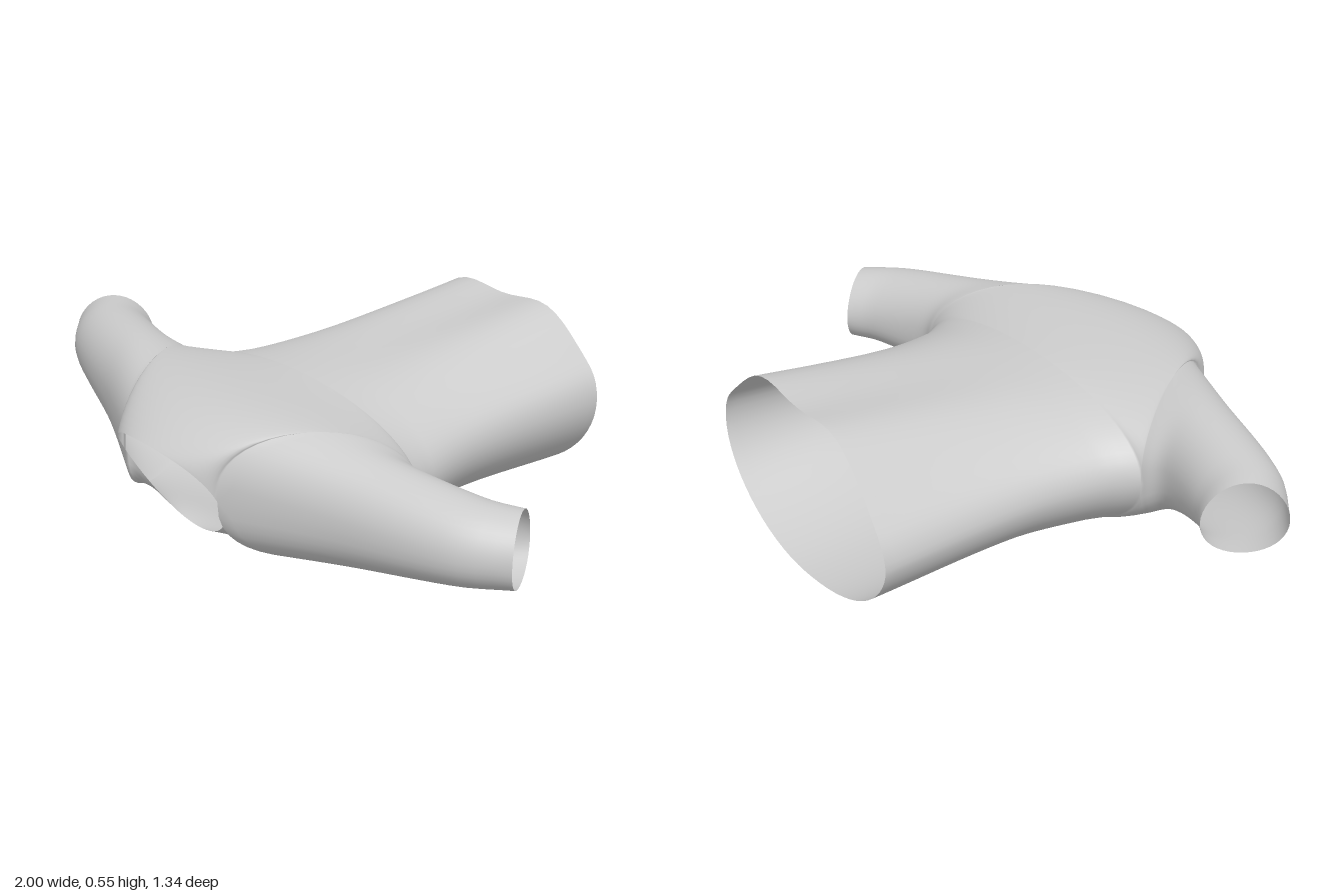
import * as THREE from 'three';
import { mergeVertices } from 'three/addons/utils/BufferGeometryUtils.js';

const { lerp } = THREE.MathUtils;

// Smooth curve through a few key rows, sampled by t in 0..1 (first column = t)
function sample(keys, t) {
  let i = 0;
  while (i < keys.length - 2 && t > keys[i + 1][0]) i++;
  const a = keys[i], b = keys[i + 1];
  const span = b[0] - a[0];
  const f = (t - a[0]) / span;
  return a.slice(1).map((v, n) => {
    const slope = (j) => {
      const p = keys[Math.max(j - 1, 0)], q = keys[Math.min(j + 1, keys.length - 1)];
      return (q[n + 1] - p[n + 1]) / (q[0] - p[0]) * span;
    };
    const w = b[n + 1], f2 = f * f, f3 = f2 * f;
    return v * (2 * f3 - 3 * f2 + 1) + slope(i) * (f3 - 2 * f2 + f)
      + w * (3 * f2 - 2 * f3) + slope(i + 1) * (f3 - f2);
  });
}

// Torso below the armpits: t, z, left edge, right edge, half height, centre height
const TORSO = [
  [0, 0.125, -0.53, 0.53, 0.235, 0.24],
  [0.1, 0.04, -0.488, 0.472, 0.236, 0.244],
  [0.4, -0.2, -0.455, 0.415, 0.236, 0.264],
  [1, -0.67, -0.455, 0.40, 0.272, 0.283],
];
// Sleeve: t, leading edge x and z, underarm x and z, half thickness
const ARMHOLE = 0.188;
const SLEEVE = [
  [0, 0.225, 0.585, 0.53, 0.125, ARMHOLE],
  [0.4, 0.5, 0.465, 0.61, 0.14, 0.158],
  [0.8, 0.86, 0.335, 0.79, 0.085, 0.12],
  [1, 1, 0.235, 0.86, 0.042, 0.107],
];
const NECK_HEIGHT = 0.15, CHEST_HEIGHT = 0.235, NECK_TILT = 0.567;

// Rounding of a sleeve section, 0 at both edges and 1 midway
const round = (p, blunt) => Math.pow(Math.max(0, 4 * p * (1 - p)), blunt);

// Centre height at the armhole, from the neck side to the armpit
const armholeCentre = (p) => lerp(0.28, 0.27, p) + 0.05 * p * (1 - p);

// Yoke, from the tilted neck ring (p = 0) to the chest ring (p = 1)
function yoke(u, v, sign) {
  const a = (u - 0.5) * Math.PI, sn = Math.sin(a), cs = Math.max(0, Math.cos(a));
  const p = (1 - Math.cos(v * Math.PI)) / 2;
  const ring = lerp(NECK_HEIGHT ** 2, CHEST_HEIGHT ** 2, p) + 0.0082 * round(p, 1);
  const h = Math.sqrt(cs * cs * ring + sn * sn * ARMHOLE ** 2 * round(p, 0.75));
  const middle = lerp(0.25, 0.24, p) + 0.24 * p * (1 - p) ** 2;
  return [sn * lerp(0.225, 0.53, p), lerp(middle, armholeCentre(p), sn * sn) + sign * h,
    lerp(0.585, 0.125, p) + NECK_TILT * (1 - p) * sign * NECK_HEIGHT * cs];
}

// Torso tube from the chest ring to the open hem, pinched along one side
function torso(u, v, sign) {
  const a = (u - 0.5) * Math.PI, sn = Math.sin(a), cs = Math.max(0, Math.cos(a));
  const [z, left, right, H, c] = sample(TORSO, v);
  const minus = Math.max(0, -sn);
  const h = H * Math.pow(cs, 1 + 0.2 * minus * v);
  const centre = c + 0.03 * sn * sn - 0.08 * minus * minus * v;
  // shallow valley between two soft ridges on the upper side
  const dip = sign > 0 ? 0.02 * v * cs * Math.cos(a * 6) : 0;
  return [(left + right) / 2 + sn * (right - left) / 2, centre + sign * h - dip, z];
}

// Sleeve from the armhole to the open cuff
function sleeve(side) {
  return (u, v, sign) => {
    const p = (1 - Math.cos(v * Math.PI)) / 2;
    const [fx, fz, bx, bz, k] = sample(SLEEVE, u);
    const rise = side < 0 ? 0.06 * Math.sin(u * Math.PI / 2) : -0.018 * u;
    const h = k * Math.sqrt(round(p, lerp(0.75, 1, u)));
    const skew = -side * 0.018 * u;
    return [side * lerp(fx, bx, p), armholeCentre(p) + rise + sign * h, lerp(fz, bz, p) + skew];
  };
}

export function createModel() {
  const pos = [];

  // Adds the upper and lower sheets of one patch
  function addPatch(fn, cols, rows, mirrored = false) {
    for (const sign of [1, -1]) {
      const flip = (sign < 0) !== mirrored;
      for (let i = 0; i < cols; i++) for (let j = 0; j < rows; j++) {
        const at = (m, n) => fn(m / cols, n / rows, sign);
        const a = at(i, j), b = at(i + 1, j), c = at(i + 1, j + 1), d = at(i, j + 1);
        const quad = flip ? [a, c, b, a, d, c] : [a, b, c, a, c, d];
        quad.forEach((q) => pos.push(...q));
      }
    }
  }

  addPatch(yoke, 32, 20);
  addPatch(torso, 32, 24);
  for (const side of [1, -1]) addPatch(sleeve(side), 18, 20, side < 0);

  // Weld the patches so the cloth shades as one continuous surface
  let geometry = new THREE.BufferGeometry();
  geometry.setAttribute('position', new THREE.Float32BufferAttribute(pos, 3));
  geometry = mergeVertices(geometry, 5e-4);
  geometry.computeVertexNormals();

  const shirt = new THREE.Mesh(geometry,
    new THREE.MeshStandardMaterial({ color: 0xcccccc, side: THREE.DoubleSide }));
  shirt.name = 'shirt';

  // Rest the cloth on the ground
  geometry.computeBoundingBox();
  shirt.position.y = -geometry.boundingBox.min.y;

  const group = new THREE.Group();
  group.name = 'shortSleevedShirt';
  group.add(shirt);
  return group;
}
